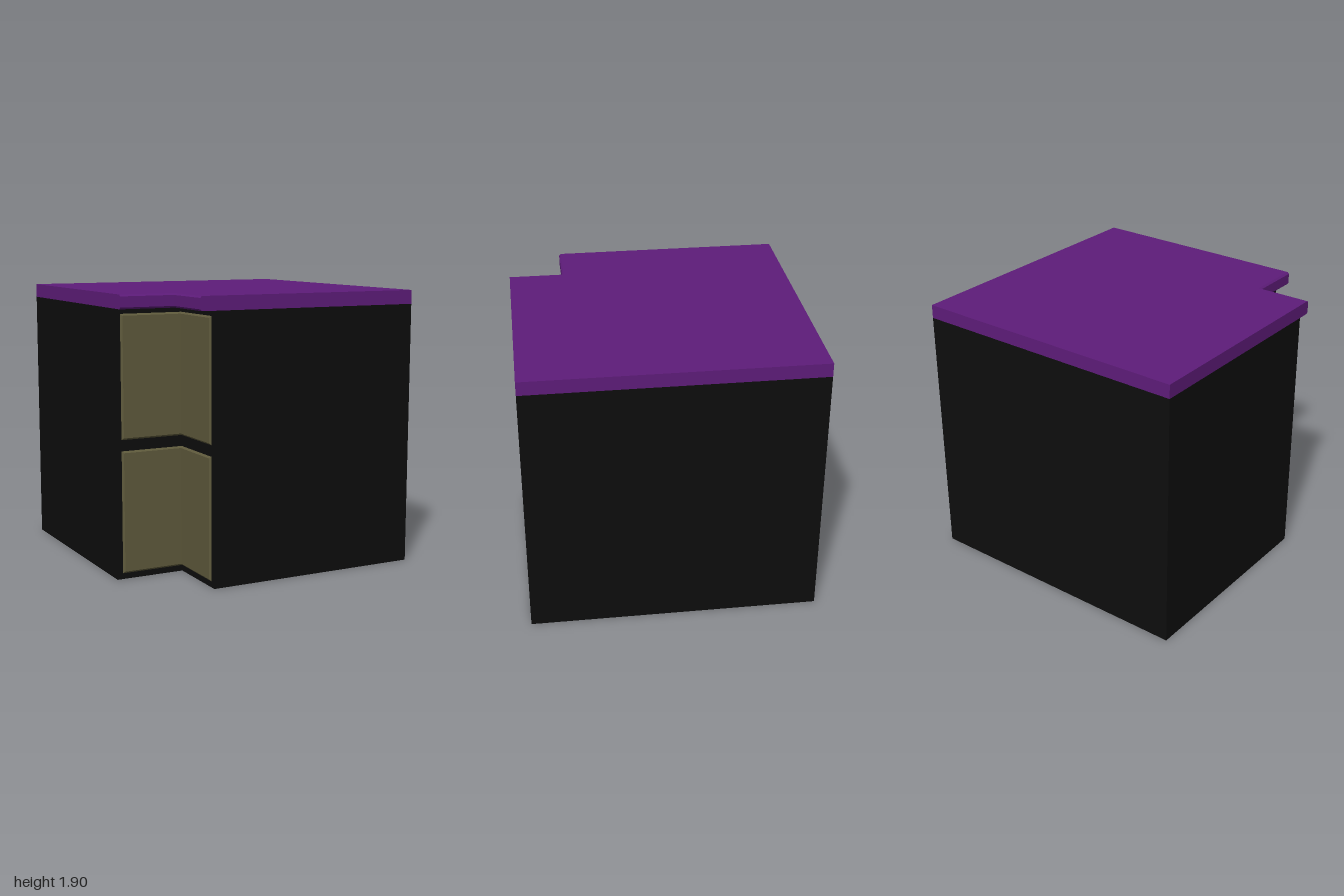
import * as THREE from 'three';

const bodyMat = new THREE.MeshStandardMaterial({ color: 0x0d0d0d });
const topMat = new THREE.MeshStandardMaterial({ color: 0x5e1c7a });
const doorMat = new THREE.MeshStandardMaterial({ color: 0x5f5a3c });

// square slab with the front corner at -x, +z cut away up to the given distance n
function cornerSlab(n, y0, y1, steps) {
  const shape = new THREE.Shape([
    [-1, 1], [-1, -n], [-n, -n], [-n, -1], [1, -1], [1, 1],
  ].map(([x, y]) => new THREE.Vector2(x, y)));
  const geo = new THREE.ExtrudeGeometry(shape, { depth: y1 - y0, steps, bevelEnabled: false });
  return geo.rotateX(-Math.PI / 2).translate(0, y0, 0);
}

export function createModel() {
  const group = new THREE.Group();
  const add = (name, geo, mat, parent = group) => {
    const mesh = new THREE.Mesh(geo, mat);
    mesh.name = name;
    parent.add(mesh);
    return mesh;
  };

  // cabinet body
  add('cabinetBody', cornerSlab(0.52, 0, 1.81, 1), bodyMat);

  // countertop, overhanging the inner corner, with eased edges there
  const n = 0.62, y0 = 1.81, y1 = 1.905, ease = 0.012;
  const top = cornerSlab(n, y0, y1, 8);
  const p = top.attributes.position;
  for (let i = 0; i < p.count; i++) {
    const y = p.getY(i);
    if (y > y0 + 0.001 && y < y1 - 0.001) continue;
    if (Math.abs(p.getX(i) + n) < 0.001) p.setX(i, -n + ease);
    if (Math.abs(p.getZ(i) - n) < 0.001) p.setZ(i, n - ease);
  }
  top.computeVertexNormals();
  add('countertop', top, topMat);

  // two stacked doors on each face of the inner corner, bevelled on the outer edges
  const w = 0.44, h = 0.83, t = 0.012, bevel = 0.012;
  const door = new THREE.BoxGeometry(w, h, t);
  const d = door.attributes.position;
  for (let i = 0; i < d.count; i++) {
    if (d.getZ(i) < 0) continue;
    d.setY(i, d.getY(i) - Math.sign(d.getY(i)) * bevel);
    if (d.getX(i) < 0) d.setX(i, d.getX(i) + bevel);
  }
  door.computeVertexNormals();
  for (const side of ['back', 'side']) {
    const pair = new THREE.Group();
    pair.name = side + 'Doors';
    [['lower', 0.455], ['upper', 1.36]].forEach(([level, y]) => {
      add(level + 'Door', door, doorMat, pair).position.set(-0.74, y, 0.52 + t / 2);
    });
    // reflect across the diagonal of the corner
    if (side === 'side') {
      pair.rotation.y = -Math.PI / 2;
      pair.scale.x = -1;
    }
    group.add(pair);
  }
  return group;
}
